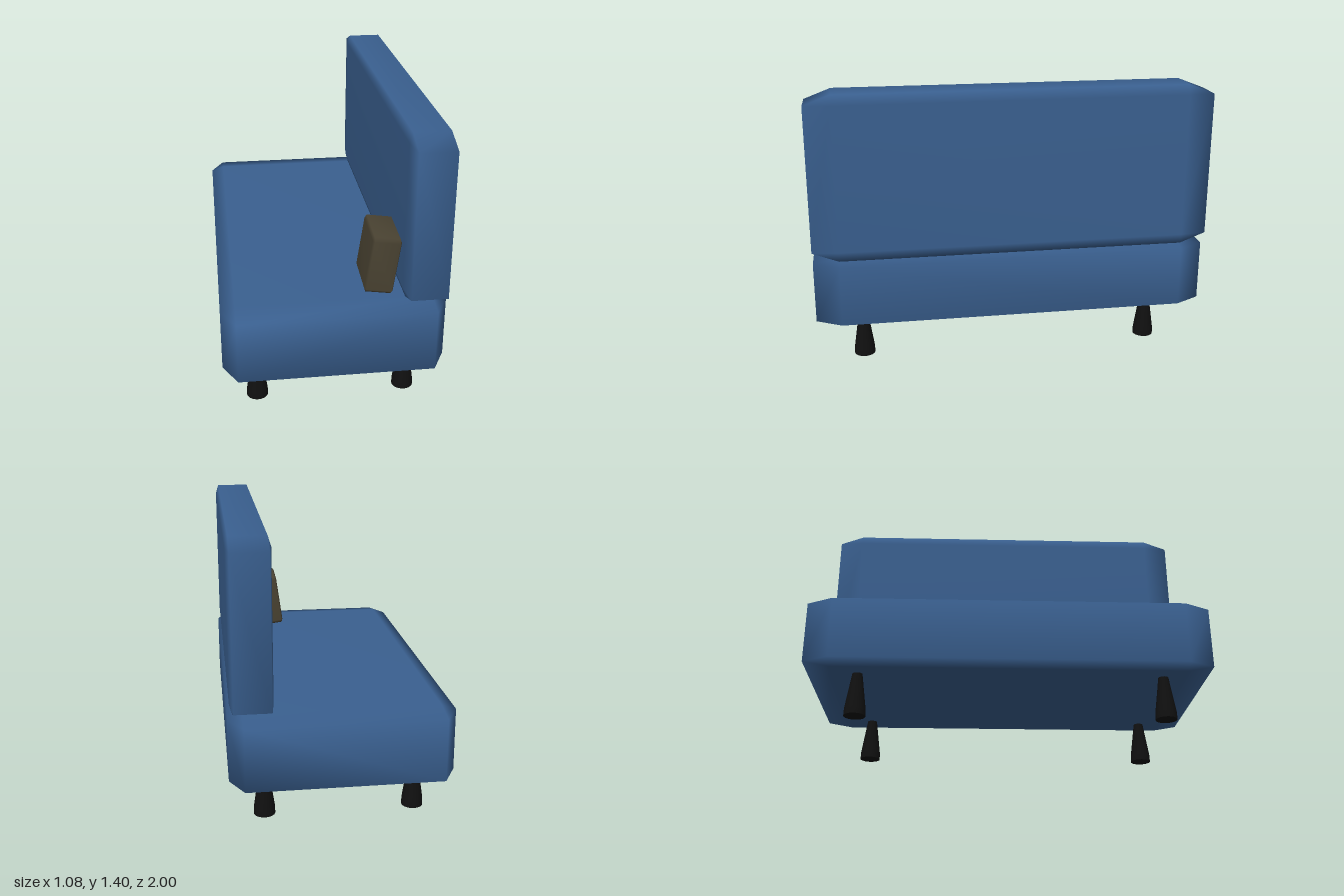
import * as THREE from 'three';
import { ConvexGeometry } from 'three/addons/geometries/ConvexGeometry.js';
import { mergeVertices } from 'three/addons/utils/BufferGeometryUtils.js';

// Box with single-step chamfers (own size per axis) and smooth shading
function chamferBox(size, chamfer) {
  const half = size.map((s) => s / 2);
  const points = [];
  for (const sx of [-1, 1]) for (const sy of [-1, 1]) for (const sz of [-1, 1]) {
    for (let axis = 0; axis < 3; axis++) {
      const p = half.map((h, i) => (i === axis ? h : h - chamfer[i]));
      points.push(new THREE.Vector3(sx * p[0], sy * p[1], sz * p[2]));
    }
  }
  let geometry = new ConvexGeometry(points);
  geometry.deleteAttribute('normal');
  geometry = mergeVertices(geometry, 1e-4);
  geometry.computeVertexNormals();
  return geometry;
}

export function createModel() {
  const model = new THREE.Group();
  model.name = 'sofa';
  const fabric = new THREE.MeshStandardMaterial({ color: 0x3a6090 });
  const pillowFabric = new THREE.MeshStandardMaterial({ color: 0x4a4332 });
  const black = new THREE.MeshStandardMaterial({ color: 0x101010 });

  const add = (name, geometry, material, x, y, z) => {
    const mesh = new THREE.Mesh(geometry, material);
    mesh.name = name;
    mesh.position.set(x, y, z);
    model.add(mesh);
    return mesh;
  };

  // Upholstery
  add('seat', chamferBox([1.08, 0.355, 2], [0.07, 0.023, 0.13]), fabric, 0, 0.394, 0);
  add('backrest', chamferBox([0.205, 0.828, 2], [0.015, 0.05, 0.13]), fabric, 0.427, 0.986, 0);

  // Pillow leaning on the backrest
  const pillow = add('pillow', chamferBox([0.14, 0.288, 0.286], [0.008, 0.018, 0.018]),
    pillowFabric, 0.236, 0.725, 0.71);
  pillow.rotation.set(0, -0.02, -0.138);

  // Tapered legs with a short straight foot
  const profile = [[0, 0], [0.053, 0], [0.053, 0], [0.052, 0.035], [0.023, 0.23], [0, 0.23]]
    .map(([r, y]) => new THREE.Vector2(r, y));
  const body = new THREE.LatheGeometry(profile.slice(2, 5), 24);
  const sole = new THREE.CircleGeometry(0.053, 24).rotateX(Math.PI / 2);
  for (const x of [-0.371, 0.368]) for (const z of [-0.743, 0.767]) {
    add('leg', body, black, x, 0, z);
    add('legSole', sole, black, x, 0, z);
  }
  return model;
}
